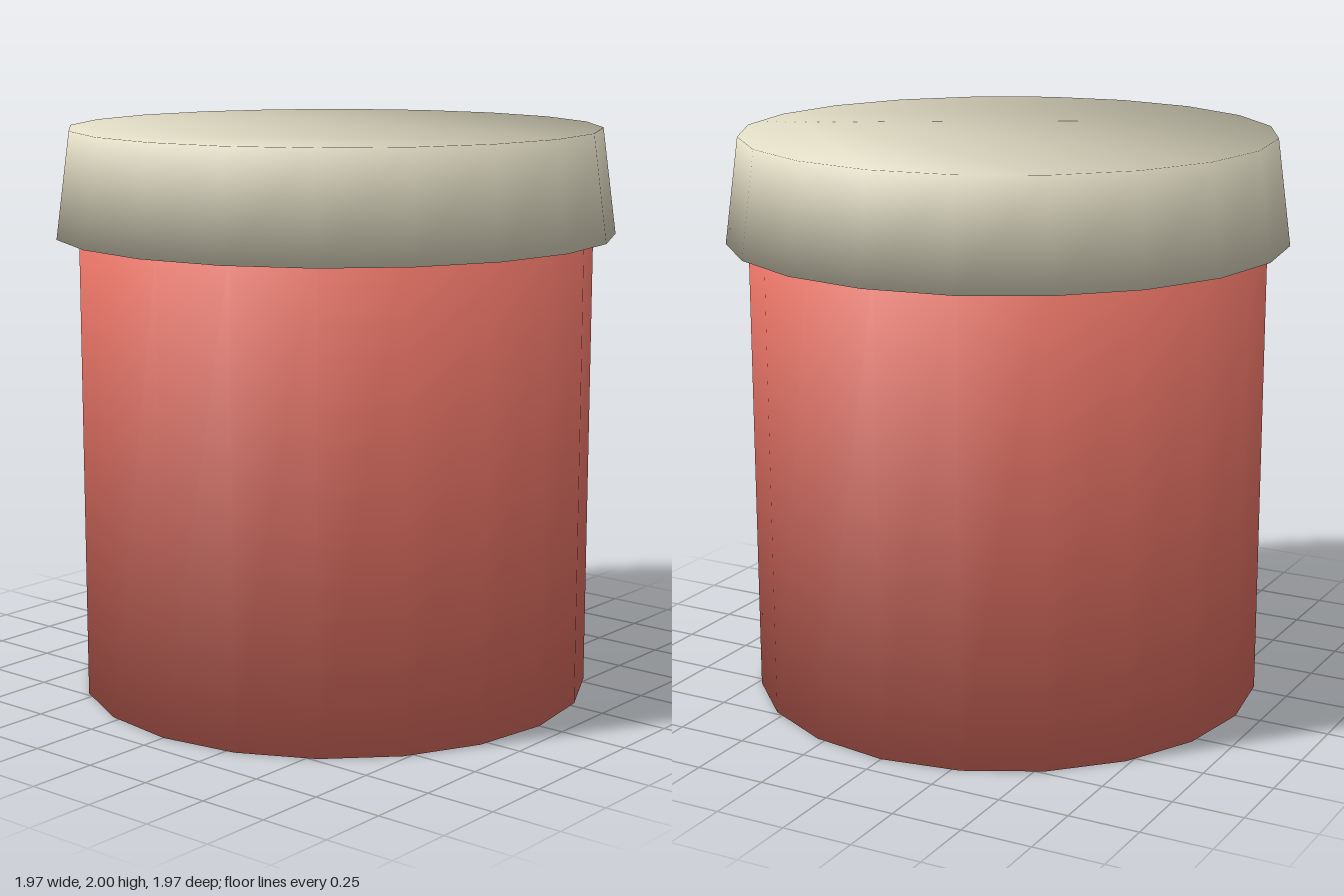
import * as THREE from 'three';

const SIDES = 20;

// Closed drum with flat ends, shaded softly over its rims
function softDrum(bottomRadius, topRadius, y0, y1) {
  const positions = [], normals = [], index = [];
  for (const [radius, y, up] of [[bottomRadius, y0, -1], [topRadius, y1, 1]]) {
    for (let i = 0; i < SIDES; i++) {
      const a = (i / SIDES) * Math.PI * 2;
      positions.push(radius * Math.sin(a), y, radius * Math.cos(a));
      normals.push(Math.sin(a) * Math.SQRT1_2, up * Math.SQRT1_2, Math.cos(a) * Math.SQRT1_2);
    }
  }
  for (let i = 0; i < SIDES; i++) {
    const j = (i + 1) % SIDES;
    index.push(i, j, SIDES + j, i, SIDES + j, SIDES + i); // wall
    if (i > 0 && i < SIDES - 1) {
      index.push(0, j, i, SIDES, SIDES + i, SIDES + j); // bottom and top ends
    }
  }
  const geometry = new THREE.BufferGeometry();
  geometry.setAttribute('position', new THREE.Float32BufferAttribute(positions, 3));
  geometry.setAttribute('normal', new THREE.Float32BufferAttribute(normals, 3));
  geometry.setIndex(index);
  return geometry;
}

export function createModel() {
  const red = new THREE.MeshStandardMaterial({ color: 0xe06f62 });
  red.name = 'coral red';
  const cream = new THREE.MeshStandardMaterial({ color: 0xe0dbc3 });
  cream.name = 'cream';

  const model = new THREE.Group();
  model.name = 'jar';

  // Straight body, its top tucked into the lid
  const body = new THREE.Mesh(softDrum(0.907, 0.907, 0, 1.66), red);
  body.name = 'body';

  // Overhanging tapered lid
  const lid = new THREE.Mesh(softDrum(0.985, 0.935, 1.63, 2), cream);
  lid.name = 'lid';

  model.add(body, lid);
  return model;
}
